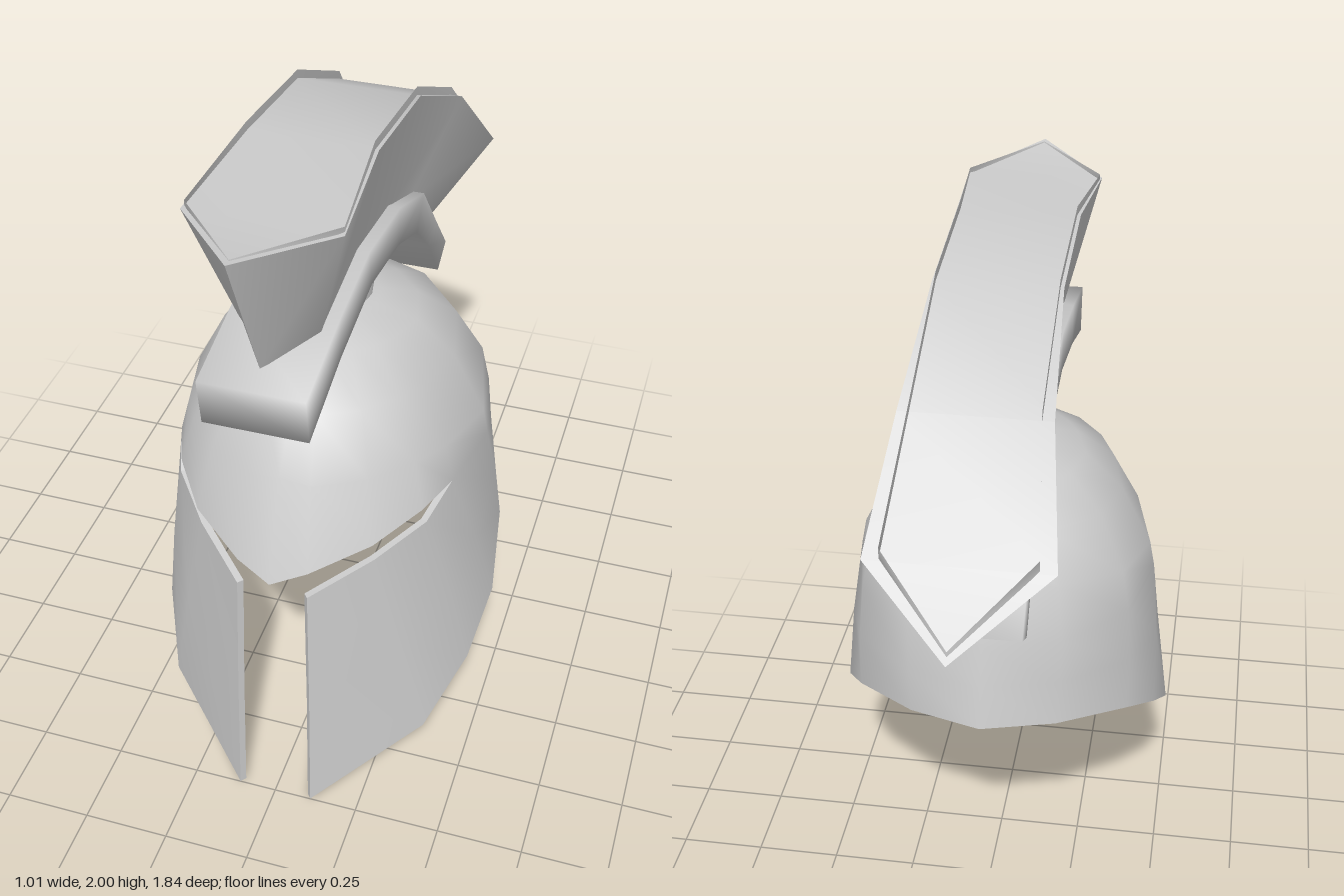
import * as THREE from 'three';
import { mergeGeometries, mergeVertices, toCreasedNormals } from 'three/addons/utils/BufferGeometryUtils.js';

const steel = new THREE.MeshStandardMaterial({ color: 0xcccccc, side: THREE.DoubleSide });
steel.name = 'grey steel';

// Surface through rows of [x, y, z] points; rings may close, ends may be capped
function loft(rows, closed = false, capped = false) {
  const n = rows[0].length, index = [];
  const quad = (a, b, c, d) => index.push(a, c, b, a, d, c);
  for (let i = 0; i < rows.length - 1; i++) {
    for (let j = 0; j < (closed ? n : n - 1); j++) {
      const k = (j + 1) % n;
      quad(i * n + j, i * n + k, (i + 1) * n + k, (i + 1) * n + j);
    }
  }
  if (capped) {
    const e = (rows.length - 1) * n;
    for (let j = 1; j < n - 1; j++) index.push(0, j, j + 1, e, e + j + 1, e + j);
  }
  const geo = new THREE.BufferGeometry();
  geo.setAttribute('position', new THREE.Float32BufferAttribute(rows.flat(2), 3));
  geo.setIndex(index);
  geo.computeVertexNormals();
  return geo;
}

// Give an open surface thickness: inset copy plus flat strips on its open edges
function thicken(surface, t) {
  surface.deleteAttribute('normal');
  const outer = mergeVertices(surface, 1e-4);
  const src = outer.index.array, tris = [];
  for (let i = 0; i < src.length; i += 3) {
    const [a, b, c] = [src[i], src[i + 1], src[i + 2]];
    if (a !== b && b !== c && c !== a) tris.push(a, b, c);
  }
  outer.setIndex(tris);
  outer.computeVertexNormals();
  const pos = outer.attributes.position, nor = outer.attributes.normal;
  const point = (i, d) => [pos.getX(i) - nor.getX(i) * d, pos.getY(i) - nor.getY(i) * d, pos.getZ(i) - nor.getZ(i) * d];

  const inner = outer.clone();
  for (let i = 0; i < pos.count; i++) inner.attributes.position.setXYZ(i, ...point(i, t));
  inner.setIndex([...tris].reverse());
  inner.computeVertexNormals();

  const edges = new Set(), strips = [];
  const eachEdge = (fn) => tris.forEach((a, i) => fn(a, tris[i % 3 === 2 ? i - 2 : i + 1]));
  eachEdge((a, b) => edges.add(a + '_' + b));
  eachEdge((a, b) => {
    if (!edges.has(b + '_' + a)) strips.push(loft([[point(a, 0), point(b, 0)], [point(a, t), point(b, t)]]));
  });
  return mergeGeometries([outer, inner, ...strips]);
}

// Half outline to full outline, mirrored in x
const around = (half, skip) => [...half, ...half.slice(skip, -1).reverse().map(([x, y, z]) => [-x, y, z])];

function helmetGeometry() {
  // Half outlines from front centre round to back centre
  const brow = [[0, .84, .73], [.1, .88, .70], [.25, .935, .60], [.35, .97, .46], [.4, .98, .33],
    [.445, .98, .1], [.39, .98, -.15], [.22, .98, -.33], [0, .98, -.385]];
  const cheekTop = [[.1, .8, .71], [.25, .865, .58], [.36, .92, .45], ...brow.slice(4)];
  const rim = [[.11, 0, .75], [.39, .17, .52], [.475, .31, .34], [.505, .44, .17], [.475, .57, -.03],
    [.4, .66, -.19], [.21, .72, -.37], [0, .73, -.44]];

  // Dome rings as [height share, radius share] at the front, side and back
  const apexY = 1.395, apexZ = .12, apex = [1, 0], edge = [0, 1];
  const rings = [[apex, apex, apex],
    [[.99, .12], [.95, .26], [.975, .315]],
    [[.946, .36], [.867, .517], [.88, .495]],
    [[.8, .656], [.61, .765], [.735, .743]],
    [[.52, .82], [.19, .966], [.48, .9]],
    [edge, edge, edge]];
  const domeRows = rings.map(([front, side, back]) => around(brow.map(([x, y, z], j) => {
    const [from, to, t] = j < 5 ? [front, side, j / 5] : [side, back, (j - 5) / 3];
    const [s, c] = from.map((v, k) => THREE.MathUtils.lerp(v, to[k], t));
    return [x * c, y + (apexY - y) * s, apexZ + (z - apexZ) * c];
  }), 1));

  const top = around(cheekTop, 0), bottom = around(rim, 0);
  const middle = top.map((p, j) => p.map((v, k) => (v + bottom[j][k]) / 2 * (k === 0 ? 1.015 : 1)));
  return thicken(mergeGeometries([loft(domeRows, true), loft([top, middle, bottom])]), .02);
}

// Stations front to back: [top half width, top y, top z, bottom half width, bottom y, bottom z]
const section = ([tx, ty, tz, bx, by, bz]) => [[bx, by, bz], [tx, ty, tz], [-tx, ty, tz], [-bx, by, bz]];

export function createModel() {
  const model = new THREE.Group();
  const add = (name, geo) => {
    const mesh = new THREE.Mesh(geo, steel);
    mesh.name = name;
    model.add(mesh);
    return mesh;
  };

  // Dome, cheek guards and eye slits in one thin shell
  add('helmetShell', helmetGeometry());

  // Post joining the dome to the crest rail
  const post = add('crestPost', new THREE.CylinderGeometry(.115, .13, .2, 12));
  post.position.set(0, 1.46, .075);
  post.rotation.x = -.1;
  post.scale.x = .72;

  // Curved, softly shaded rail under the crest
  const rail = [[1.55, .80, 1.41, .78], [1.61, .52, 1.485, .52], [1.645, .27, 1.53, .25], [1.605, -.02, 1.49, -.01],
    [1.50, -.28, 1.41, -.21], [1.30, -.45, 1.27, -.36], [1.15, -.58, 1.10, -.49]];
  add('crestRail', loft(rail.map(([ty, tz, by, bz]) => section([.14, ty, tz, .14, by, bz])), true, true));

  // Flared crest, pointed at both ends
  const crest = [[0, 1.985, .915, 0, 1.57, .73], [.2, 1.955, .68, .1, 1.57, .57], [.175, 1.975, .32, .1, 1.62, .27],
    [.175, 1.925, -.07, .1, 1.58, -.02], [.2, 1.735, -.45, .1, 1.48, -.26], [.245, 1.46, -.72, .11, 1.31, -.43],
    [0, 1.305, -.92, 0, 1.2, -.55]];
  add('crest', toCreasedNormals(loft(crest.map(section), true), 1));

  // Thin raised lip around the crest top
  const lip = around([[0, 1.985, .89], [.195, 1.97, .665], [.165, 2, .32], [.165, 1.95, -.07],
    [.168, 1.76, -.45], [.2, 1.495, -.715], [0, 1.335, -.9]], 1);
  add('crestLip', loft([lip, lip.map(([x, y, z]) => [x, y - .03, z])], true));

  return model;
}
